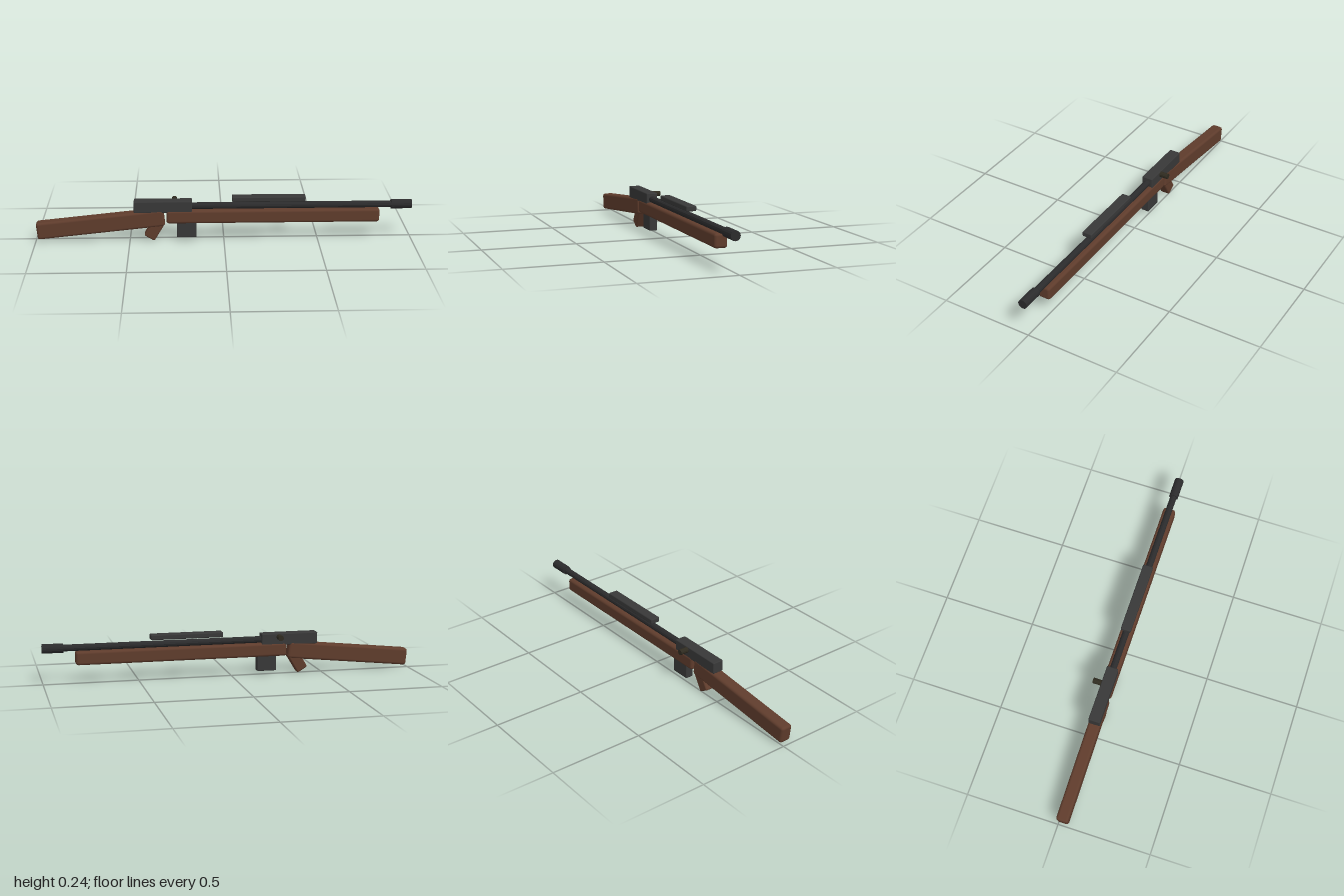
import * as THREE from 'three';
import { RoundedBoxGeometry } from 'three/addons/geometries/RoundedBoxGeometry.js';

const Z = 0.022; // centre plane of the long parts

export function createModel() {
  const model = new THREE.Group();
  const mat = (name, color, flatShading = false) =>
    new THREE.MeshStandardMaterial({ name, color, flatShading });
  const wood = mat('brown wood', 0x5f3c2c);
  const steel = mat('grey steel', 0x383838);
  const darkSteel = mat('dark steel', 0x2b2b2c, true);
  const boltMetal = mat('dark bronze', 0x2f2b20, true);

  function add(name, geometry, material, x, y, z = Z) {
    const mesh = new THREE.Mesh(geometry, material);
    mesh.name = name;
    mesh.position.set(x, y, z);
    model.add(mesh);
    return mesh;
  }
  const block = (name, material, w, h, d, r, x, y) =>
    add(name, new RoundedBoxGeometry(w, h, d, 2, r), material, x, y);

  // Wooden furniture
  block('buttstock', wood, 0.68, 0.092, 0.065, 0.014, -0.655, 0.096).rotation.z = 0.103;
  block('forestock', wood, 1.133, 0.073, 0.068, 0.014, 0.2615, 0.1355);
  block('pistolGrip', wood, 0.063, 0.118, 0.055, 0.008, -0.367, 0.068).rotation.z = -0.54;

  // Receiver, magazine and top rail
  block('receiver', steel, 0.309, 0.063, 0.062, 0.005, -0.3225, 0.1915);
  block('magazine', steel, 0.105, 0.11, 0.045, 0.004, -0.1975, 0.075);
  block('topRail', steel, 0.39, 0.028, 0.055, 0.006, 0.238, 0.229);

  // Barrel and muzzle along x
  const rod = (r, length, sides) => new THREE.CylinderGeometry(r, r, length, sides).rotateZ(-Math.PI / 2);
  add('barrel', rod(0.018, 1.14, 12), darkSteel, 0.34, 0.19);
  add('muzzle', rod(0.025, 0.11, 16), darkSteel, 0.945, 0.19);

  // Bolt handle sticking out of the back side
  const bolt = new THREE.CylinderGeometry(0.015, 0.015, 0.065, 10).rotateX(Math.PI / 2);
  add('boltHandle', bolt, boltMetal, -0.262, 0.205, -0.0225);

  return model;
}
